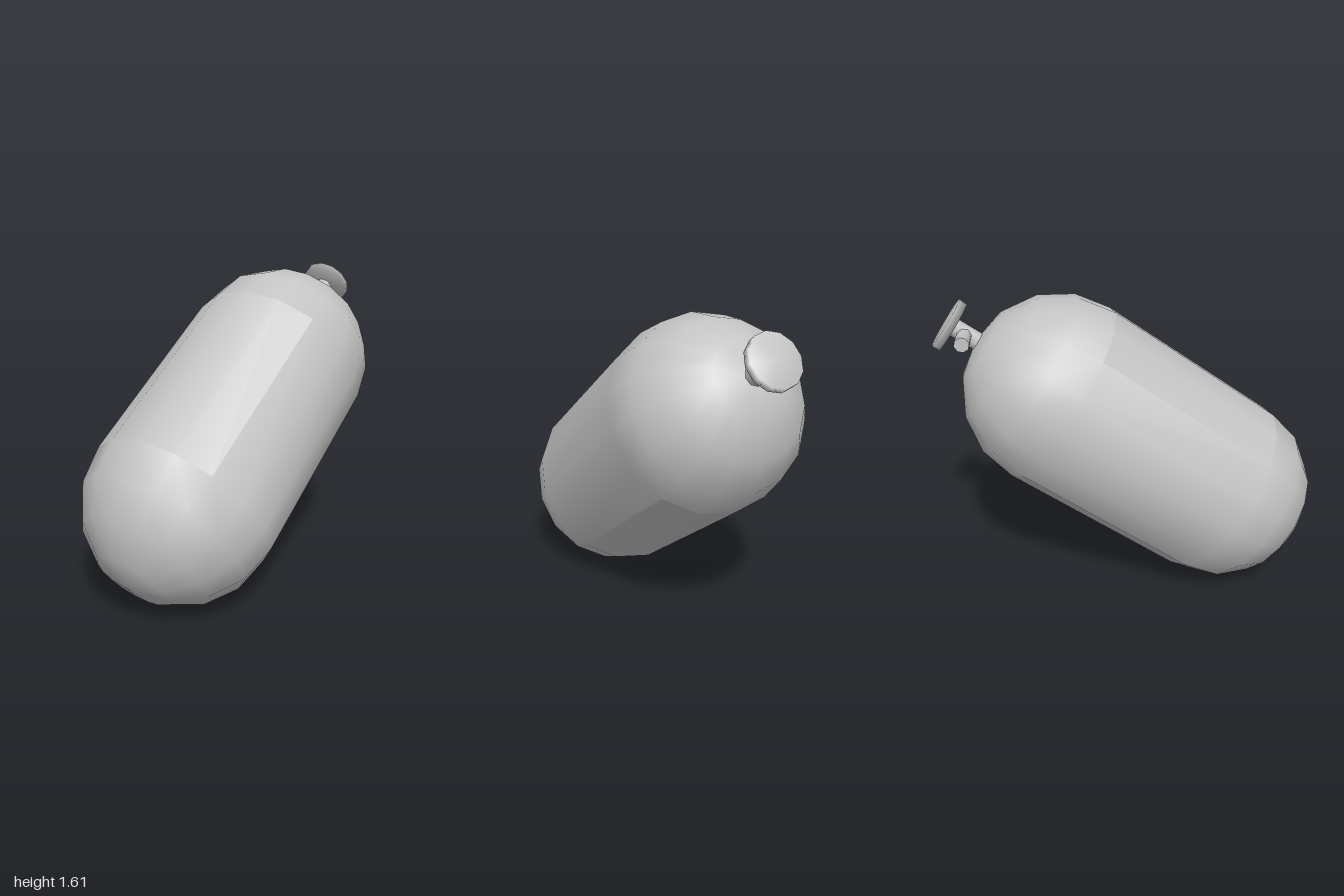
import * as THREE from 'three';
import { mergeGeometries, mergeVertices } from 'three/addons/utils/BufferGeometryUtils.js';

const RADIUS = 0.512;
const HALF = 0.522; // half the straight section
const SIDES = 16;

// Weld parts into one skin with continuous smooth normals
function smooth(...parts) {
  for (const g of parts) {
    g.deleteAttribute('normal');
    g.deleteAttribute('uv');
  }
  const skin = mergeVertices(mergeGeometries(parts), 1e-4);
  skin.computeVertexNormals();
  return skin;
}

// Hemisphere profile, four bands from rim to pole
function dome(sign) {
  const points = [];
  for (let i = 0; i <= 4; i++) {
    const a = (i / 4) * Math.PI / 2;
    const r = i === 4 ? 0 : RADIUS * Math.cos(a);
    points.push(new THREE.Vector2(r, sign * (HALF + RADIUS * Math.sin(a))));
  }
  if (sign < 0) points.reverse();
  return new THREE.LatheGeometry(points, SIDES);
}

// Quarter of the straight wall, starting at the given angle
function wall(start) {
  const points = [new THREE.Vector2(RADIUS, -HALF), new THREE.Vector2(RADIUS, HALF)];
  return new THREE.LatheGeometry(points, SIDES / 4, start, Math.PI / 2);
}

export function createModel() {
  const metal = new THREE.MeshStandardMaterial({ color: 0xc4c4c4 });
  metal.name = 'grey metal';

  const model = new THREE.Group();
  model.name = 'gasTank';

  // Everything is built upright, then leaned back
  const tank = new THREE.Group();
  tank.name = 'tiltedTank';
  tank.position.set(0, 0.811, 0.073);
  tank.rotation.x = -0.956;
  model.add(tank);

  const add = (name, geometry) => {
    const mesh = new THREE.Mesh(geometry, metal);
    mesh.name = name;
    tank.add(mesh);
    return mesh;
  };

  // Domed ends and the two side walls share one smooth skin
  const q = Math.PI / 4;
  add('body', smooth(dome(1), dome(-1), wall(q), wall(5 * q)));

  // Label panels on the upper and lower faces, with their own normals
  add('upperPanel', smooth(wall(-q)));
  add('lowerPanel', smooth(wall(3 * q)));

  // Valve: stem, hand knob and side outlet
  const stem = add('valveStem', new THREE.CylinderGeometry(0.05, 0.05, 0.19, 8));
  stem.position.y = HALF + 0.555;

  const knob = add('valveKnob', smooth(new THREE.CylinderGeometry(0.138, 0.138, 0.042, 12)));
  knob.position.y = HALF + 0.662;

  const outlet = add('valveOutlet', new THREE.CylinderGeometry(0.039, 0.039, 0.165, 8));
  outlet.rotation.z = Math.PI / 2;
  outlet.position.set(-0.0825, HALF + 0.575, 0);

  return model;
}
